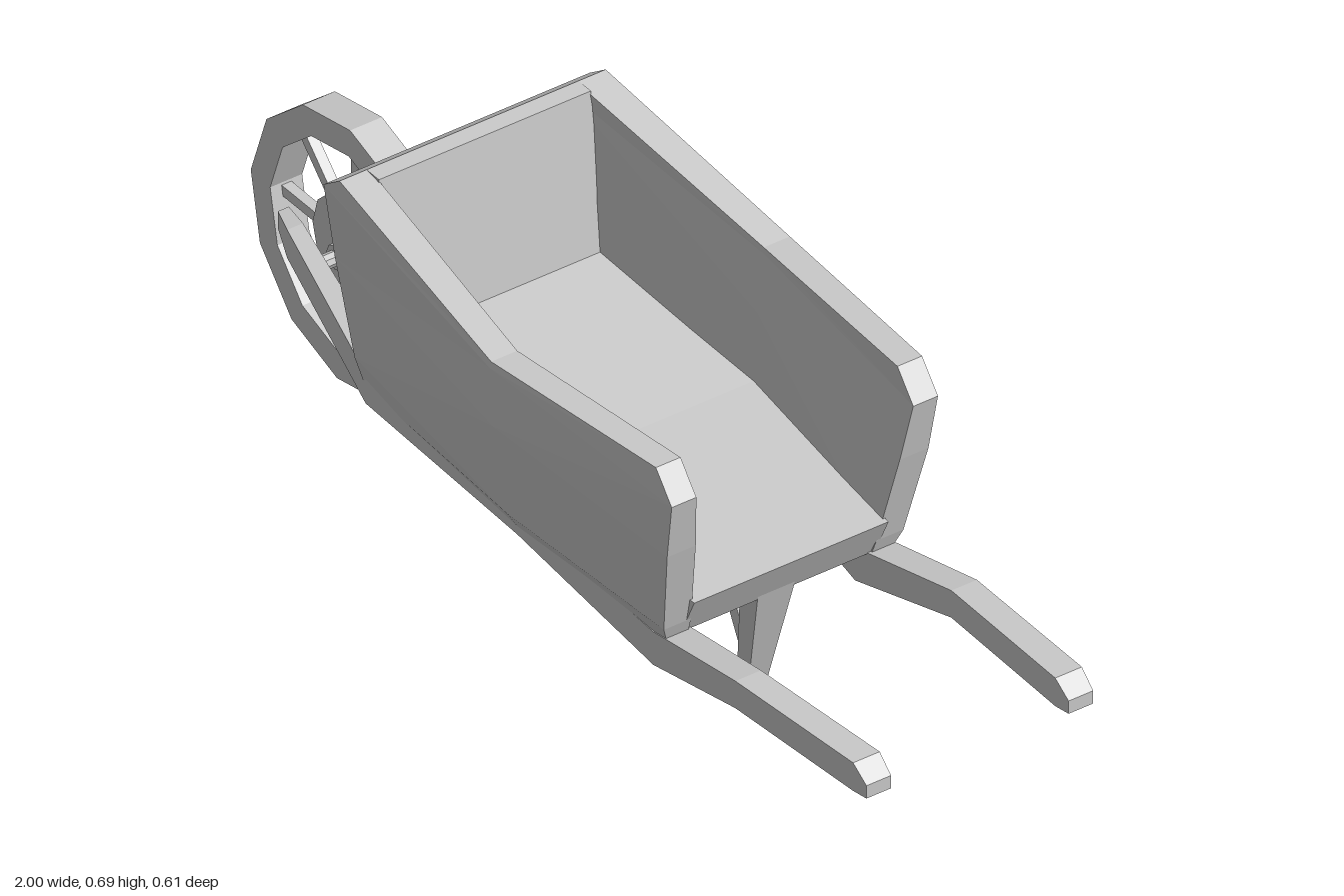
import * as THREE from 'three';

const material = new THREE.MeshStandardMaterial({ color: 0xcccccc, flatShading: true });

function addMesh(parent, name, geometry) {
  const mesh = new THREE.Mesh(geometry, material);
  mesh.name = name;
  parent.add(mesh);
  return mesh;
}

// Solid skinned through equal-sized rings of [x, y, z] corners, with both ends capped.
function loft(rings) {
  const n = rings[0].length;
  const tris = [];
  for (let i = 0; i < rings.length - 1; i++) {
    for (let j = 0; j < n; j++) {
      const k = (j + 1) % n;
      const [a, b, c, d] = [rings[i][j], rings[i][k], rings[i + 1][k], rings[i + 1][j]];
      tris.push([a, b, c], [a, c, d]);
    }
  }
  const last = rings[rings.length - 1];
  for (let s = 1; s < n - 1; s++) {
    const p = (1 + s) % n, q = (2 + s) % n;
    tris.push([rings[0][1], rings[0][q], rings[0][p]], [last[1], last[p], last[q]]);
  }
  // Turn the solid outward whichever way the rings run.
  let volume = 0;
  for (const t of tris) {
    const [a, b, c] = t.map((p) => new THREE.Vector3(...p));
    volume += a.dot(b.cross(c));
  }
  if (volume < 0) tris.forEach((t) => t.reverse());
  const geometry = new THREE.BufferGeometry();
  geometry.setAttribute('position', new THREE.Float32BufferAttribute(tris.flat(2), 3));
  geometry.computeVertexNormals();
  return geometry;
}

// Side plank: each level lists front, middle and rear as [x, y, outer z, inner z].
function sideWall(side) {
  const levels = [
    [[-0.41, 0.27, 0.235, 0.2], [0.04, 0.24, 0.24, 0.215], [0.43, 0.235, 0.225, 0.185]],
    [[-0.42, 0.33, 0.25, 0.2], [0.04, 0.29, 0.27, 0.225], [0.445, 0.28, 0.243, 0.188]],
    [[-0.455, 0.52, 0.265, 0.205], [0.04, 0.48, 0.3, 0.24], [0.485, 0.46, 0.265, 0.207]],
    [[-0.48, 0.655, 0.27, 0.21], [0.04, 0.6, 0.305, 0.25], [0.505, 0.575, 0.27, 0.22]],
    [[-0.435, 0.688, 0.27, 0.21], [0.04, 0.613, 0.303, 0.25], [0.46, 0.63, 0.27, 0.22]],
  ];
  return loft(levels.map((level) => [
    ...level.map(([x, y, out]) => [x, y, out * side]),
    ...[...level].reverse().map(([x, y, , inner]) => [x, y, inner * side]),
  ]));
}

// Rail from wheel fork to handle: [x, top y, bottom y, inner z, outer z].
function rail(side) {
  const stations = [
    [-0.885, 0.28, 0.245, 0.05, 0.072],
    [-0.82, 0.292, 0.235, 0.068, 0.1],
    [-0.4, 0.305, 0.245, 0.195, 0.242],
    [0.04, 0.29, 0.24, 0.2, 0.25],
    [0.4, 0.245, 0.178, 0.177, 0.232],
    [0.65, 0.297, 0.242, 0.193, 0.245],
    [0.965, 0.31, 0.253, 0.178, 0.232],
    [1.0, 0.283, 0.257, 0.18, 0.23],
  ];
  return loft(stations.map(([x, top, bottom, zi, zo]) => [
    [x, bottom, zi * side], [x, bottom, zo * side], [x, top, zo * side], [x, top, zi * side],
  ]));
}

// Four-sided bar between two levels given as [x0, x1, y, z0, z1].
function bar(...levels) {
  return loft(levels.map(([x0, x1, y, z0, z1]) => [[x0, y, z0], [x1, y, z0], [x1, y, z1], [x0, y, z1]]));
}

function polygonPath(PathType, radius, sides, turn) {
  const points = [];
  for (let i = 0; i < sides; i++) {
    const a = turn + (i / sides) * Math.PI * 2;
    points.push(new THREE.Vector2(Math.cos(a) * radius, Math.sin(a) * radius));
  }
  return new PathType(points);
}

function createWheel() {
  const wheel = new THREE.Group();
  wheel.name = 'wheel';
  const sides = 12, turn = -0.07, width = 0.065;

  const rimShape = polygonPath(THREE.Shape, 0.263, sides, turn);
  rimShape.holes.push(polygonPath(THREE.Path, 0.208, sides, turn));
  const rim = new THREE.ExtrudeGeometry(rimShape, { depth: width, bevelEnabled: false });
  addMesh(wheel, 'wheelRim', rim.translate(0, 0, -width / 2));

  addMesh(wheel, 'wheelHub', new THREE.CylinderGeometry(0.105, 0.105, 0.04, 12).rotateX(Math.PI / 2));
  addMesh(wheel, 'hubCollar', new THREE.CylinderGeometry(0.024, 0.024, 0.1, 8).rotateX(Math.PI / 2));
  addMesh(wheel, 'axle', new THREE.CylinderGeometry(0.014, 0.014, 0.185, 8).rotateX(Math.PI / 2));

  for (let i = 0; i < 8; i++) {
    const spoke = new THREE.BoxGeometry(0.13, 0.02, 0.02).translate(0.15, 0, 0);
    addMesh(wheel, 'spoke', spoke.rotateZ((i * Math.PI) / 4));
  }
  wheel.position.set(-0.738, 0.267, 0.012);
  return wheel;
}

export function createModel() {
  const model = new THREE.Group();
  model.name = 'wheelbarrow';

  for (const side of [1, -1]) {
    const prefix = side > 0 ? 'left' : 'right';
    addMesh(model, prefix + 'TraySide', sideWall(side));
    addMesh(model, prefix + 'Rail', rail(side));
  }

  // Sloping panel closing the tray at the wheel end
  const panel = [[-0.405, 0.25], [-0.36, 0.25], [-0.36, 0.38], [-0.4, 0.688], [-0.435, 0.688], [-0.48, 0.655], [-0.41, 0.28]];
  const panelShape = new THREE.Shape(panel.map(([x, y]) => new THREE.Vector2(x, y)));
  const panelGeometry = new THREE.ExtrudeGeometry(panelShape, { depth: 0.43, bevelEnabled: false });
  addMesh(model, 'trayEndPanel', panelGeometry.translate(0, 0, -0.215));

  // Thick tray floor: [bottom x, top x, bottom y, top y, half width]
  const floor = [[-0.4, -0.39, 0.25, 0.39, 0.205], [0.04, 0.04, 0.248, 0.35, 0.232], [0.43, 0.467, 0.248, 0.328, 0.197]];
  addMesh(model, 'trayFloor', loft(floor.map(([xb, xt, yb, yt, w]) => [
    [xb, yb, -w], [xb, yb, w], [xt, yt, w], [xt, yt, -w],
  ])));

  // Tapered stand with its slanting brace
  addMesh(model, 'standLeg', bar([0.335, 0.365, 0, -0.017, 0.017], [0.385, 0.435, 0.26, -0.031, 0.045]));
  addMesh(model, 'standBrace', bar([0.345, 0.37, 0.09, -0.013, 0.017], [0.265, 0.3, 0.26, -0.013, 0.02]));

  model.add(createWheel());
  return model;
}
